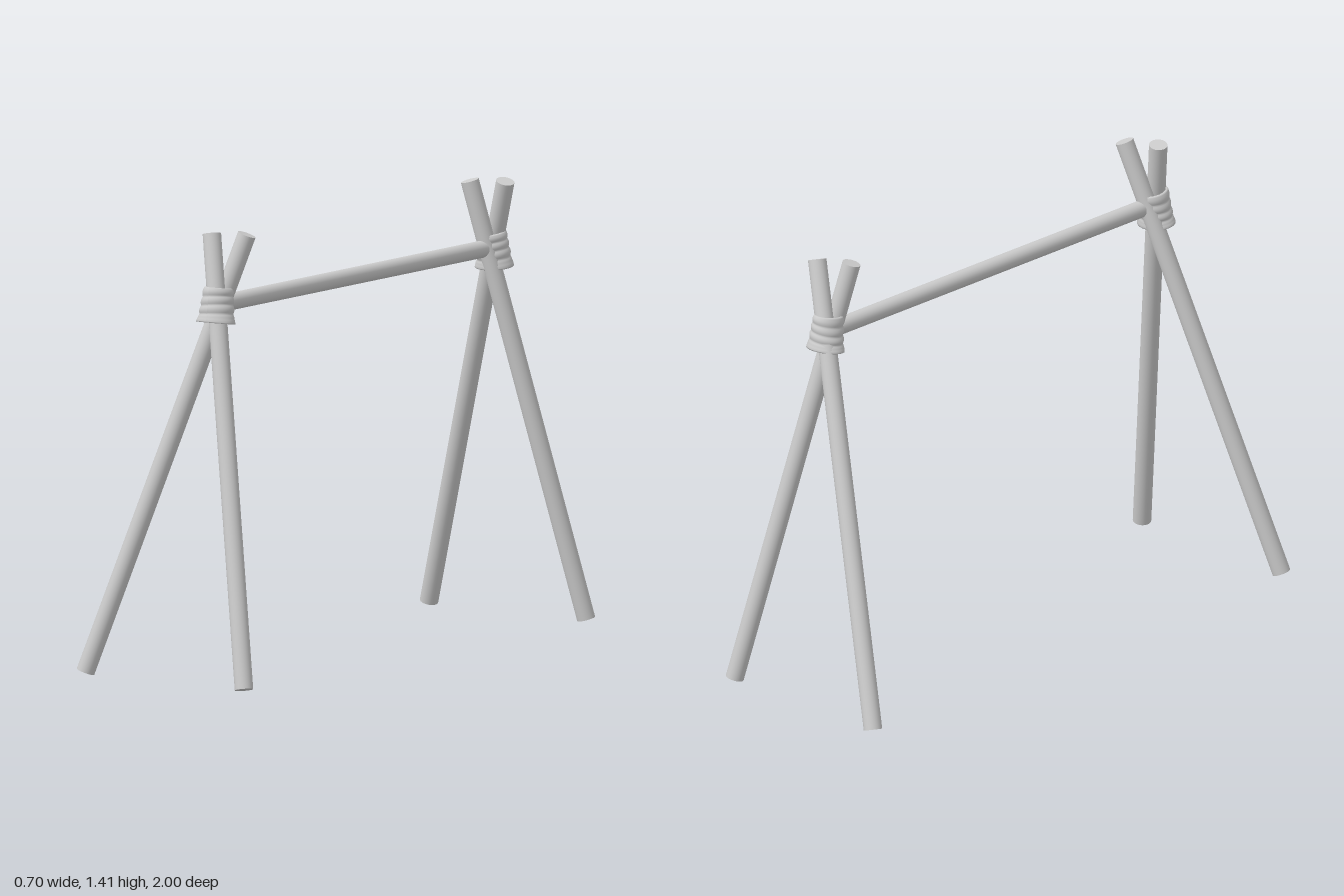
import * as THREE from 'three';

const material = new THREE.MeshStandardMaterial({ color: 0xcccccc, side: THREE.DoubleSide });

// Round pole between two points
function pole(name, from, to, radius) {
  const a = new THREE.Vector3(...from), b = new THREE.Vector3(...to);
  const dir = b.clone().sub(a);
  const mesh = new THREE.Mesh(new THREE.CylinderGeometry(radius, radius, dir.length(), 24), material);
  mesh.position.copy(a).add(b).multiplyScalar(0.5);
  mesh.quaternion.setFromUnitVectors(new THREE.Vector3(0, 1, 0), dir.normalize());
  mesh.name = name;
  return mesh;
}

// Rope lashing: ribbed sleeve with slanted turns, flaring to a hem around the parting poles
function lashing(side) {
  const turns = 4, steps = 32, height = 0.11;
  const profile = [new THREE.Vector2(0.85, -height / 2)];
  for (let i = 0; i <= steps; i++) {
    const t = i / steps;
    const rib = 0.07 * Math.abs(Math.sin(Math.PI * turns * t));
    const hem = 0.1 * Math.max(0, 1 - t * 8);
    profile.push(new THREE.Vector2(0.93 + rib + hem, (t - 0.5) * height));
  }
  profile.push(new THREE.Vector2(0.8, height / 2));
  const geometry = new THREE.LatheGeometry(profile, 40);
  const p = geometry.attributes.position;
  for (let i = 0; i < p.count; i++) {
    const t = p.getY(i) / height + 0.5;
    const nx = p.getX(i), nz = p.getZ(i);
    const slant = 0.006 * nx * Math.sin(Math.PI * t);
    p.setXYZ(i, nx * (0.062 - 0.018 * t), p.getY(i) + slant, nz * 0.054);
  }
  geometry.computeVertexNormals();
  const mesh = new THREE.Mesh(geometry, material);
  mesh.position.set(0.07, 1.175, side * 0.757);
  mesh.rotation.x = -side * 0.14;
  mesh.name = 'lashing';
  return mesh;
}

export function createModel() {
  const model = new THREE.Group();
  model.name = 'poleFrame';

  // Crossed pole pairs; the outer pole of each pair leans the opposite way
  const trestles = [
    { name: 'frontTrestle', side: 1, left: [0.32, 0.972, 0.035, 0.735], right: [-0.315, 0.921, 0.135, 0.688] },
    { name: 'backTrestle', side: -1, left: [0.31, 0.921, 0.03, 0.688], right: [-0.32, 0.972, 0.132, 0.735] },
  ];
  for (const { name, side, left, right } of trestles) {
    const trestle = new THREE.Group();
    trestle.name = name;
    for (const [label, [fx, fz, tx, tz]] of [['leftLeg', left], ['rightLeg', right]]) {
      trestle.add(pole(label, [fx, 0.01, side * fz], [tx, 1.395, side * tz], 0.029));
    }
    trestle.add(lashing(side));
    model.add(trestle);
  }

  // Horizontal bar resting between the crossings
  model.add(pole('crossbar', [0.067, 1.18, -0.73], [0.078, 1.18, 0.73], 0.027));
  return model;
}
